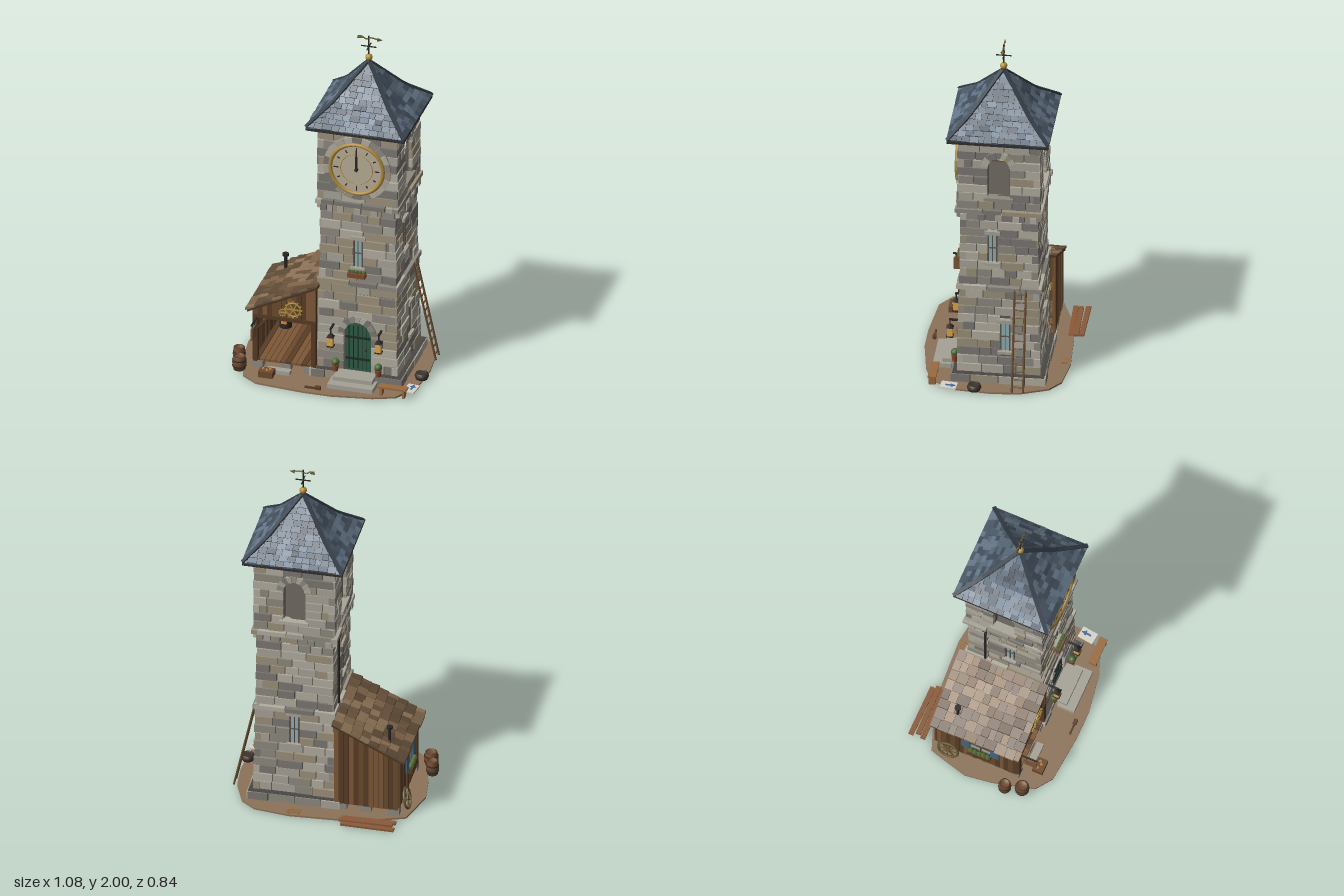
import * as THREE from 'three';
import { mergeGeometries } from 'three/addons/utils/BufferGeometryUtils.js';

const CX = 0.165, CZ = -0.02; // tower axis
const STONE = [0xa8a498, 0x8e8a80, 0x9c917c, 0x7c7873, 0xb3aea1];
const SLATE = [0x5a6a7a, 0x4c5a69, 0x67788a, 0x434f5d];
const SHINGLE = [0x7d6449, 0x6a533c, 0x8c7256, 0x5e4a36];
const WOOD = [0x6b4a2e, 0x5a3d26, 0x7d5836];
const IRON = 0x2a2826, GOLD = 0xb08d3c, GLASS = 0x8fb0b5, GREEN = 0x4d6b34;
const lerp = (a, b, t) => a + (b - a) * t;

export function createModel() {
  const root = new THREE.Group();
  let seed = 7;
  const rnd = (a = 0, b = 1) => {
    seed = (seed * 16807) % 2147483647;
    return a + (b - a) * seed / 2147483647;
  };

  // ---- helpers ----
  const add = (name, color, geos, parent = root) => {
    const list = geos.map(g => { const n = g.index ? g.toNonIndexed() : g; n.deleteAttribute('uv'); return n; });
    const mesh = new THREE.Mesh(mergeGeometries(list), new THREE.MeshStandardMaterial({ color, side: THREE.DoubleSide }));
    mesh.name = name;
    parent.add(mesh);
  };
  const addMixed = (name, colors, geos) => { // shares pieces out over several tones
    const group = new THREE.Group();
    group.name = name;
    const bins = colors.map(() => []);
    geos.forEach(g => bins[Math.floor(rnd() * colors.length)].push(g));
    bins.forEach((b, i) => b.length && add(name + 'Tone' + (i + 1), colors[i], b, group));
    root.add(group);
  };
  const put = (g, x, y, z, rx = 0, ry = 0, rz = 0) => g.rotateX(rx).rotateZ(rz).rotateY(ry).translate(x, y, z);
  const box = (w, h, d, x, y, z, rx, ry, rz) => put(new THREE.BoxGeometry(w, h, d), x, y, z, rx, ry, rz);
  const cyl = (rt, rb, h, x, y, z, n = 12, rx, ry, rz) => put(new THREE.CylinderGeometry(rt, rb, h, n), x, y, z, rx, ry, rz);
  const ring = (r, t, x, y, z, ry = 0, n = 32) => put(new THREE.TorusGeometry(r, t, 6, n), x, y, z, 0, ry);
  const rod = (a, b, r, n = 6) => new THREE.TubeGeometry(new THREE.LineCurve3(new THREE.Vector3(...a), new THREE.Vector3(...b)), 1, r, n);
  const hexa = f => { // six-sided block whose corners follow a rule
    const g = new THREE.BoxGeometry(1, 1, 1), p = g.attributes.position;
    for (let i = 0; i < p.count; i++) p.setXYZ(i, ...f(p.getX(i) + 0.5, p.getY(i) + 0.5, p.getZ(i) + 0.5));
    g.computeVertexNormals();
    return g;
  };
  const onSide = (g, s) => g.rotateY(s * Math.PI / 2).translate(CX, 0, CZ); // 0 front, 1 +x, 2 back, 3 -x
  const arch = (s, c, cy, r0, r1, z, n, a0 = 0, a1 = Math.PI) => Array.from({ length: n }, (_, i) => {
    const d = rnd(0, 0.006);
    return onSide(hexa((u, v, w) => {
      const a = lerp(a1, a0, (i + 0.03 + u * 0.94) / n), r = lerp(r0, r1, v);
      return [c + Math.cos(a) * r, cy + Math.sin(a) * r, z - 0.03 + w * (0.038 + d)];
    }), s);
  });
  const archPath = (P, w, y0, spring) => {
    const p = new P();
    p.moveTo(-w, y0); p.lineTo(w, y0); p.lineTo(w, spring);
    p.absarc(0, spring, w, 0, Math.PI); p.closePath();
    return p;
  };

  // ---- ground ----
  const edge = [[-0.52, -0.05], [-0.5, 0.1], [-0.44, 0.33], [-0.35, 0.395], [-0.08, 0.42], [0.08, 0.42], [0.3, 0.385], [0.42, 0.34], [0.5, 0.2],
    [0.515, 0], [0.5, -0.15], [0.44, -0.3], [0.36, -0.36], [0.17, -0.385], [-0.1, -0.37], [-0.3, -0.33], [-0.46, -0.27], [-0.48, -0.2]];
  const ground = new THREE.ExtrudeGeometry(new THREE.Shape(edge.map(([x, z]) => new THREE.Vector2(x, -z))), { depth: 0.01, bevelEnabled: false });
  add('ground', 0x8c7358, [ground.rotateX(-Math.PI / 2).translate(0, 0.002, 0)]);
  add('foundation', 0x4a4743, [box(0.5, 0.06, 0.5, CX, 0.03, CZ)]);

  // ---- tower masonry ----
  const slits = [[0, 0, 0.69, 0.86], [1, -0.035, 0.75, 0.93], [1, 0.035, 0.2, 0.38], [2, 0, 0.38, 0.56], [3, 0.03, 0.72, 0.9]];
  const voids = slits.map(([side, c, y0, y1]) => ({ side, c, y0, y1, w: 0.026 }));
  voids.push({ side: 0, c: 0, w: 0.075, y0: 0.05, y1: 0.36 }, { side: 0, c: 0, y0: 1.135, y1: 1.475, r: 0.17 });
  [1, 2, 3].forEach(side => voids.push({ side, c: 0, w: 0.06, y0: 1.17, y1: 1.42 }));
  const stones = [];
  const wall = (y0, y1, h0, h1, rows, size = 0.105) => {
    for (let i = 0; i < rows; i++) for (let s = 0; s < 4; s++) {
      const a = lerp(y0, y1, i / rows), b = lerp(y0, y1, (i + 1) / rows), h = lerp(h0, h1, (i + 0.5) / rows);
      const ext = (i + s) % 2 ? 0.008 : 0;
      let spans = [[-h - ext, h + ext]];
      for (const o of voids) if (o.side === s && Math.min(b, o.y1) - Math.max(a, o.y0) > 0.008) {
        const w = o.r ? Math.sqrt(Math.max(0, o.r ** 2 - ((a + b - o.y0 - o.y1) / 2) ** 2)) : o.w;
        spans = spans.flatMap(([l, r]) => [[l, Math.min(r, o.c - w)], [Math.max(l, o.c + w), r]]).filter(([l, r]) => r - l > 0.008);
      }
      for (const [l, r] of spans) for (let x = l; x < r - 0.001;) {
        let w = size * rnd(0.6, 1.35);
        if (r - x - w < size * 0.45) w = r - x;
        stones.push(onSide(box(w - 0.005, b - a - 0.005, 0.034, x + w / 2, (a + b) / 2, h - 0.013 + rnd(-0.004, 0.005)), s));
        x += w;
      }
    }
  };
  wall(0.01, 0.06, 0.255, 0.25, 1, 0.13);
  wall(0.06, 0.575, 0.222, 0.213, 10);
  wall(0.575, 0.605, 0.225, 0.225, 1, 0.14);
  wall(0.605, 1.06, 0.21, 0.206, 9);
  wall(1.06, 1.09, 0.232, 0.232, 1, 0.14);
  wall(1.09, 1.5, 0.22, 0.22, 8);
  wall(1.5, 1.535, 0.232, 0.232, 1, 0.14);
  for (let s = 0; s < 4; s++) {
    for (let i = -2; i <= 2; i++) stones.push(onSide(box(0.035, 0.035, 0.05, i * 0.095, 1.04, 0.207), s)); // corbels
    if (s) stones.push(...arch(s, 0, 1.36, 0.058, 0.096, 0.22, 9), onSide(box(0.16, 0.02, 0.05, 0, 1.16, 0.215), s));
  }
  stones.push(...arch(0, 0, 0.285, 0.072, 0.108, 0.218, 9), ...arch(0, 0, 1.305, 0.152, 0.19, 0.222, 22, 0, Math.PI * 2));
  addMixed('towerStones', STONE, stones);

  const mortar = [box(0.415, 0.54, 0.415, CX, 0.32, CZ), box(0.39, 0.58, 0.39, CX, 0.86, CZ)];
  for (let s = 0; s < 4; s++) {
    const sh = new THREE.Shape([[-0.205, 1.08], [0.205, 1.08], [0.205, 1.54], [-0.205, 1.54]].map(p => new THREE.Vector2(...p)));
    if (s) sh.holes.push(archPath(THREE.Path, 0.058, 1.17, 1.36));
    mortar.push(onSide(new THREE.ExtrudeGeometry(sh, { depth: 0.03, bevelEnabled: false }).translate(0, 0, 0.175), s));
  }
  add('mortarCore', 0x5f5b54, mortar);

  // ---- slit windows ----
  const glass = [], frames = [], sills = [];
  for (const [s, c, a, b] of slits) {
    const h = s === 0 || a > 0.6 ? 0.203 : 0.212, m = (a + b) / 2;
    glass.push(onSide(box(0.05, b - a, 0.02, c, m, h - 0.009), s));
    for (const x of [-0.023, 0, 0.023]) frames.push(onSide(box(x ? 0.007 : 0.004, b - a, 0.008, c + x, m, h + 0.003), s));
    frames.push(onSide(box(0.05, 0.005, 0.008, c, m, h + 0.003), s));
    sills.push(onSide(box(0.085, 0.022, 0.03, c, b + 0.008, h + 0.005), s), onSide(box(0.08, 0.016, 0.036, c, a - 0.006, h + 0.006), s));
  }
  add('slitGlass', GLASS, glass);
  add('slitFrames', 0x5d554a, frames);
  add('sillsAndLintels', STONE[0], sills);
  add('windowBox', 0x7d4a2e, [box(0.1, 0.026, 0.035, CX, 0.655, 0.215)]);
  add('windowBoxPlants', GREEN, [-2, -1, 0, 1, 2].map(i => put(new THREE.IcosahedronGeometry(0.012), CX + i * 0.02, 0.675, 0.215)));

  // ---- door and steps ----
  add('door', 0x2f5a45, [onSide(new THREE.ExtrudeGeometry(archPath(THREE.Shape, 0.073, 0.06, 0.285), { depth: 0.02, bevelEnabled: false }).translate(0, 0, 0.192), 0)]);
  add('doorIron', 0x1d2b25, [...[-2, -1, 0, 1, 2].map(i => box(0.004, 0.26, 0.004, CX + i * 0.025, 0.2, 0.193)),
    box(0.135, 0.012, 0.006, CX, 0.13, 0.194), box(0.135, 0.012, 0.006, CX, 0.26, 0.194), put(new THREE.SphereGeometry(0.007, 8, 6), CX + 0.045, 0.19, 0.198)]);
  add('steps', 0xa5a297, [box(0.22, 0.05, 0.1, CX, 0.036, 0.25), box(0.255, 0.028, 0.1, CX, 0.024, 0.3), box(0.13, 0.025, 0.04, -0.26, 0.022, 0.255)]);
  for (const x of [0.03, 0.3]) {
    add('lanternIron', IRON, [box(0.01, 0.01, 0.07, x, 0.325, 0.225), box(0.006, 0.04, 0.006, x, 0.305, 0.255), cyl(0.006, 0.028, 0.02, x, 0.287, 0.255, 4, 0, Math.PI / 4), box(0.038, 0.006, 0.038, x, 0.223, 0.255)]);
    add('lanternGlow', 0xe0a845, [box(0.03, 0.05, 0.03, x, 0.25, 0.255)]);
  }
  for (const x of [0.05, 0.29]) {
    add('flowerPot', 0x8a4a2e, [cyl(0.02, 0.014, 0.04, x, 0.08, 0.23)]);
    add('potPlant', GREEN, [put(new THREE.IcosahedronGeometry(0.022, 1), x, 0.115, 0.23)]);
  }

  // ---- clock ----
  add('clockFace', 0xb8ae96, [cyl(0.145, 0.145, 0.04, CX, 1.305, 0.198, 40, Math.PI / 2)]);
  add('clockRim', GOLD, [ring(0.148, 0.011, CX, 1.305, 0.218, 0, 48), ring(0.09, 0.002, CX, 1.305, 0.219, 0, 40)]);
  const marks = Array.from({ length: 12 }, (_, i) => box(0.006, i % 3 ? 0.016 : 0.028, 0.004, 0, 0.116, 0).rotateZ(i * Math.PI / 6).translate(CX, 1.305, 0.219));
  add('clockMarksAndHands', IRON, [...marks, box(0.008, 0.13, 0.004, CX, 1.355, 0.222), box(0.014, 0.09, 0.004, CX, 1.34, 0.225), cyl(0.01, 0.01, 0.012, CX, 1.305, 0.224, 12, Math.PI / 2)]);

  // ---- bell ----
  const bell = [[0, 0.11], [0.02, 0.108], [0.03, 0.095], [0.034, 0.06], [0.042, 0.025], [0.057, 0]].map(p => new THREE.Vector2(...p));
  add('bell', GOLD, [put(new THREE.LatheGeometry(bell, 20), CX, 1.3, CZ), put(new THREE.SphereGeometry(0.012, 8, 6), CX, 1.3, CZ)]);
  add('bellBeam', WOOD[0], [box(0.38, 0.03, 0.03, CX, 1.43, CZ)]);

  // ---- slate roof ----
  const prof = t => t < 0.4 ? [lerp(0.275, 0.16, t / 0.4), lerp(1.535, 1.64, t / 0.4)] : [lerp(0.16, 0.008, (t - 0.4) / 0.6), lerp(1.64, 1.835, (t - 0.4) / 0.6)];
  const shell = [0, 0.4, 1].map(t => { const [r, y] = prof(t); return new THREE.Vector2((r - 0.004) * Math.SQRT2, y); });
  add('roofCore', 0x333b45, [put(new THREE.LatheGeometry(shell, 4), CX, 0, CZ, 0, Math.PI / 4).toNonIndexed(), box(0.54, 0.014, 0.54, CX, 1.533, CZ)].map(g => { g.computeVertexNormals(); return g; }));
  const slates = [], hips = [], ROWS = 12;
  for (let s = 0; s < 4; s++) for (let i = 0; i < ROWS; i++) {
    const [r0, y0] = prof(i / ROWS), [r1, y1] = prof(Math.min(1, (i + 1.15) / ROWS));
    for (let x = -r0; x < r0 - 0.001;) {
      let w = rnd(0.028, 0.055);
      if (r0 - x - w < 0.02) w = r0 - x;
      const a = x + 0.001, b = x + w - 0.001, k = rnd(0.002, 0.009), drop = rnd(0, 0.007);
      slates.push(onSide(hexa((u, v, t) => {
        const r = lerp(r0, r1, v), px = lerp(a, b, u);
        return [Math.max(-r, Math.min(r, px)), lerp(y0 - drop * 0.5, y1, v) + t * (0.006 + k * (1 - v)), lerp(r0, r1, v) + t * 0.004];
      }), s));
      x += w;
    }
    const tilt = Math.atan2(y1 - y0, (r0 - r1) * Math.SQRT2);
    const g = box(0.045, 0.012, 0.022, 0, 0, 0, 0, 0, -tilt);
    const rm = (r0 + r1) / 2;
    hips.push(onSide(g.rotateY(-Math.PI / 4).translate(rm, (y0 + y1) / 2 + 0.008, rm), s));
  }
  addMixed('roofSlates', SLATE, slates);
  add('roofHips', 0x363f4a, hips);
  add('eaveBoards', 0x33302d, [0, 1, 2, 3].map(s => onSide(box(0.55, 0.014, 0.012, 0, 1.528, 0.27), s)));

  // ---- weather vane ----
  add('finialBall', GOLD, [put(new THREE.SphereGeometry(0.02, 14, 10), CX, 1.87, CZ)]);
  add('vaneIron', IRON, [cyl(0.004, 0.004, 0.17, CX, 1.915, CZ, 6), cyl(0.01, 0.022, 0.03, CX, 1.84, CZ, 8), box(0.085, 0.005, 0.005, CX, 1.935, CZ), box(0.005, 0.005, 0.085, CX, 1.935, CZ)]);
  const wave = new THREE.CatmullRomCurve3([[-0.065, -0.004], [-0.04, 0.008], [-0.015, -0.004], [0.01, 0.006], [0.05, 0]].map(([x, y]) => new THREE.Vector3(CX + x, 1.983 + y, CZ)));
  add('vaneArrow', 0x6d6234, [new THREE.TubeGeometry(wave, 20, 0.004, 5), cyl(0, 0.012, 0.03, CX + 0.063, 1.983, CZ, 4, 0, 0, -Math.PI / 2), box(0.025, 0.016, 0.004, CX - 0.05, 1.988, CZ)]);
  add('downpipe', IRON, [cyl(0.007, 0.007, 0.46, -0.055, 0.82, -0.13, 8), box(0.025, 0.03, 0.03, -0.055, 1.045, -0.13)]);

  // ---- lean-to shed ----
  const roofY = x => 0.352 + (x + 0.45) * 0.49;
  const planks = [], N = 13;
  for (let i = 0; i < N; i++) {
    const a = lerp(-0.415, -0.06, i / N), b = lerp(-0.415, -0.06, (i + 0.95) / N), k = rnd(0, 0.005);
    const board = (y0, z) => hexa((u, v, w) => { const x = lerp(a, b, u); return [x, lerp(y0, roofY(x) - 0.005, v), z + w * 0.012]; });
    planks.push(board(0.05, -0.27 - k), board(0.33, 0.215 + k)); // back wall and front gable
  }
  for (let i = 0; i < 18; i++) {
    const z = lerp(-0.255, 0.215, (i + 0.5) / 18), win = Math.abs(z) < 0.06;
    for (const [a, b] of win ? [[0.05, 0.19], [0.3, 0.365]] : [[0.05, 0.365]]) planks.push(box(0.012, b - a, 0.0245, -0.412 - rnd(0, 0.004), (a + b) / 2, z));
  }
  for (let i = 0; i < 12; i++) planks.push(box(0.027, 0.014, 0.48, -0.395 + i * 0.0295, 0.058, -0.02)); // deck
  addMixed('shedPlanks', WOOD, planks);
  add('shedPosts', 0x573a24, [box(0.026, 0.32, 0.026, -0.402, 0.21, 0.215), box(0.026, 0.47, 0.026, -0.075, 0.29, 0.215), box(0.35, 0.022, 0.026, -0.237, 0.33, 0.22),
    box(0.026, 0.32, 0.026, -0.402, 0.21, -0.255), box(0.02, 0.025, 0.5, -0.4, 0.355, -0.02), rod([-0.39, 0.25, 0.215], [-0.32, 0.33, 0.215], 0.008)]);
  add('shedPiers', STONE[1], [-0.39, -0.235, -0.1].flatMap(x => [-0.245, 0.2].map(z => box(0.06, 0.045, 0.05, x, 0.03, z))));
  const shingles = [];
  for (let i = 0; i < 8; i++) for (let z = -0.285; z < 0.239;) {
    let w = rnd(0.035, 0.07);
    if (0.24 - z - w < 0.03) w = 0.24 - z;
    const x0 = lerp(-0.452, -0.05, i / 8) - rnd(0, 0.008), x1 = lerp(-0.452, -0.05, Math.min(1, (i + 1.1) / 8)), k = rnd(0.004, 0.013), z0 = z;
    shingles.push(hexa((u, v, t) => { const x = lerp(x0, x1, v); return [x, roofY(x) + 0.008 + t * (0.005 + k * (1 - v)), z0 + 0.001 + u * (w - 0.002)]; }));
    z += w;
  }
  addMixed('shedShingles', SHINGLE, shingles);
  add('shedRoofDeck', 0x4b3523, [hexa((u, v, t) => { const x = lerp(-0.445, -0.05, v); return [x, roofY(x) - 0.006 + t * 0.014, lerp(-0.28, 0.235, u)]; })]);
  add('shedWindow', GLASS, [box(0.006, 0.11, 0.12, -0.412, 0.245, 0)]);
  add('shedShutters', 0x41677d, [-0.085, 0.085].map(z => box(0.01, 0.12, 0.05, -0.423, 0.245, z)));
  add('shedWindowBars', WOOD[1], [box(0.014, 0.11, 0.006, -0.414, 0.245, 0), box(0.014, 0.006, 0.12, -0.414, 0.245, 0), box(0.035, 0.03, 0.13, -0.432, 0.17, 0)]);
  add('shedWindowPlants', GREEN, [-2, -1, 0, 1, 2].map(i => put(new THREE.IcosahedronGeometry(0.016), -0.436, 0.192, i * 0.025)));
  add('innerDoor', 0x7d5836, [...[0, 1, 2, 3, 4].map(i => box(0.026, 0.26, 0.01, -0.275 + i * 0.028, 0.2, -0.25)), box(0.14, 0.02, 0.014, -0.22, 0.12, -0.245), box(0.14, 0.02, 0.014, -0.22, 0.28, -0.245)]);
  const gear = (x, y, z, r) => [ring(r, r * 0.13, x, y, z, 0, 20), ...[0, 1, 2].map(i => box(r * 2, r * 0.16, 0.006, x, y, z, 0, 0, i * Math.PI / 3)),
    ...Array.from({ length: 12 }, (_, i) => box(r * 0.2, r * 0.22, 0.008, r * 1.17, 0, 0).rotateZ(i * Math.PI / 6).translate(x, y, z))];
  add('gears', GOLD, [...gear(-0.185, 0.4, 0.238, 0.04), ...gear(-0.245, 0.375, 0.238, 0.018), ...gear(-0.17, 0.285, -0.235, 0.016)]);
  add('stove', IRON, [cyl(0.032, 0.035, 0.085, -0.345, 0.11, -0.165), cyl(0.009, 0.009, 0.36, -0.345, 0.32, -0.165, 8), cyl(0.018, 0.018, 0.014, -0.345, 0.507, -0.165, 10)]);
  add('stoveFire', 0xe08a35, [box(0.03, 0.025, 0.008, -0.345, 0.11, -0.132)]);
  add('workbench', WOOD[2], [box(0.06, 0.014, 0.24, -0.105, 0.17, -0.08), ...[-0.18, 0.02].map(z => box(0.05, 0.1, 0.014, -0.105, 0.115, z))]);
  add('hangingSign', WOOD[2], [box(0.012, 0.07, 0.07, -0.395, 0.255, 0.285)]);
  add('signBracket', IRON, [box(0.008, 0.008, 0.1, -0.395, 0.315, 0.275), ...[0.262, 0.308].map(z => box(0.004, 0.03, 0.004, -0.395, 0.302, z))]);

  // ---- ladder ----
  const lad = (t, z) => [lerp(0.515, 0.388, t), lerp(0.02, 0.6, t), z];
  add('ladder', 0x6e4f32, [...[-0.107, -0.168].map(z => rod(lad(0, z), lad(1, z), 0.006)), ...Array.from({ length: 13 }, (_, i) => rod(lad((i + 0.7) / 13.5, -0.107), lad((i + 0.7) / 13.5, -0.168), 0.004))]);

  // ---- yard clutter ----
  const barrel = (r, h, x, z) => put(new THREE.LatheGeometry([[0, 0], [r * 0.8, 0], [r, h * 0.5], [r * 0.82, h], [r * 0.68, h], [r * 0.66, h * 0.86], [0, h * 0.86]].map(p => new THREE.Vector2(...p)), 14), x, 0.012, z);
  add('barrels', 0x6f4a30, [barrel(0.036, 0.085, -0.505, 0.18), barrel(0.04, 0.08, -0.478, 0.27)]);
  add('barrelHoops', IRON, [[-0.505, 0.18, 0.035], [-0.478, 0.27, 0.039]].flatMap(([x, z, r]) => [0.035, 0.07].map(y => cyl(r, r, 0.006, x, y, z, 14))));
  add('bucket', 0x3e342b, [barrel(0.04, 0.035, 0.497, 0.1)]);
  add('crate', WOOD[0], [box(0.08, 0.035, 0.06, -0.315, 0.03, 0.305)]);
  add('crateGoods', 0xb5803f, [-0.335, -0.31, -0.295].map((x, i) => put(new THREE.IcosahedronGeometry(0.01), x, 0.05, 0.3 + (i % 2) * 0.012)));
  add('bench', 0x9a6b40, [box(0.16, 0.01, 0.045, 0.403, 0.062, 0.332), ...[0.34, 0.465].map(x => box(0.012, 0.045, 0.04, x, 0.034, 0.332))]);
  add('signBoard', 0xd8d4c8, [box(0.065, 0.008, 0.09, 0.478, 0.018, 0.24, 0, -0.12)]);
  add('signArrow', 0x3f6aa0, [box(0.01, 0.004, 0.035, 0.483, 0.023, 0.24, 0, -0.12), cyl(0.018, 0.018, 0.004, 0.485, 0.023, 0.22, 3, 0, Math.PI)]);
  add('mallet', 0x5a3f28, [box(0.06, 0.01, 0.01, -0.05, 0.018, 0.377), box(0.03, 0.018, 0.02, -0.005, 0.022, 0.377)]);
  add('lumber', 0x8a5a38, [box(0.295, 0.012, 0.028, -0.275, 0.012, -0.408, 0, -0.01), box(0.295, 0.012, 0.028, -0.26, 0.018, -0.375, 0, 0.02), box(0.3, 0.012, 0.028, -0.27, 0.012, -0.345, 0, 0.03)]);
  add('pallet', 0x9a6f48, [...[-0.014, 0, 0.014].map(z => box(0.075, 0.005, 0.009, 0.14, 0.02, -0.352 + z, 0, 0.06)), box(0.01, 0.006, 0.04, 0.115, 0.015, -0.352), box(0.01, 0.006, 0.04, 0.165, 0.015, -0.352)]);
  const wheel = [ring(0.058, 0.007, 0, 0, 0, Math.PI / 2, 24), cyl(0.013, 0.013, 0.02, 0, 0, 0, 10, 0, 0, Math.PI / 2),
    ...[0, 1, 2, 3].map(i => box(0.006, 0.115, 0.006, 0, 0, 0, i * Math.PI / 4))].map(g => g.rotateZ(-0.22).translate(-0.445, 0.078, -0.18));
  add('cartWheel', 0x6b5a36, wheel);
  return root;
}
